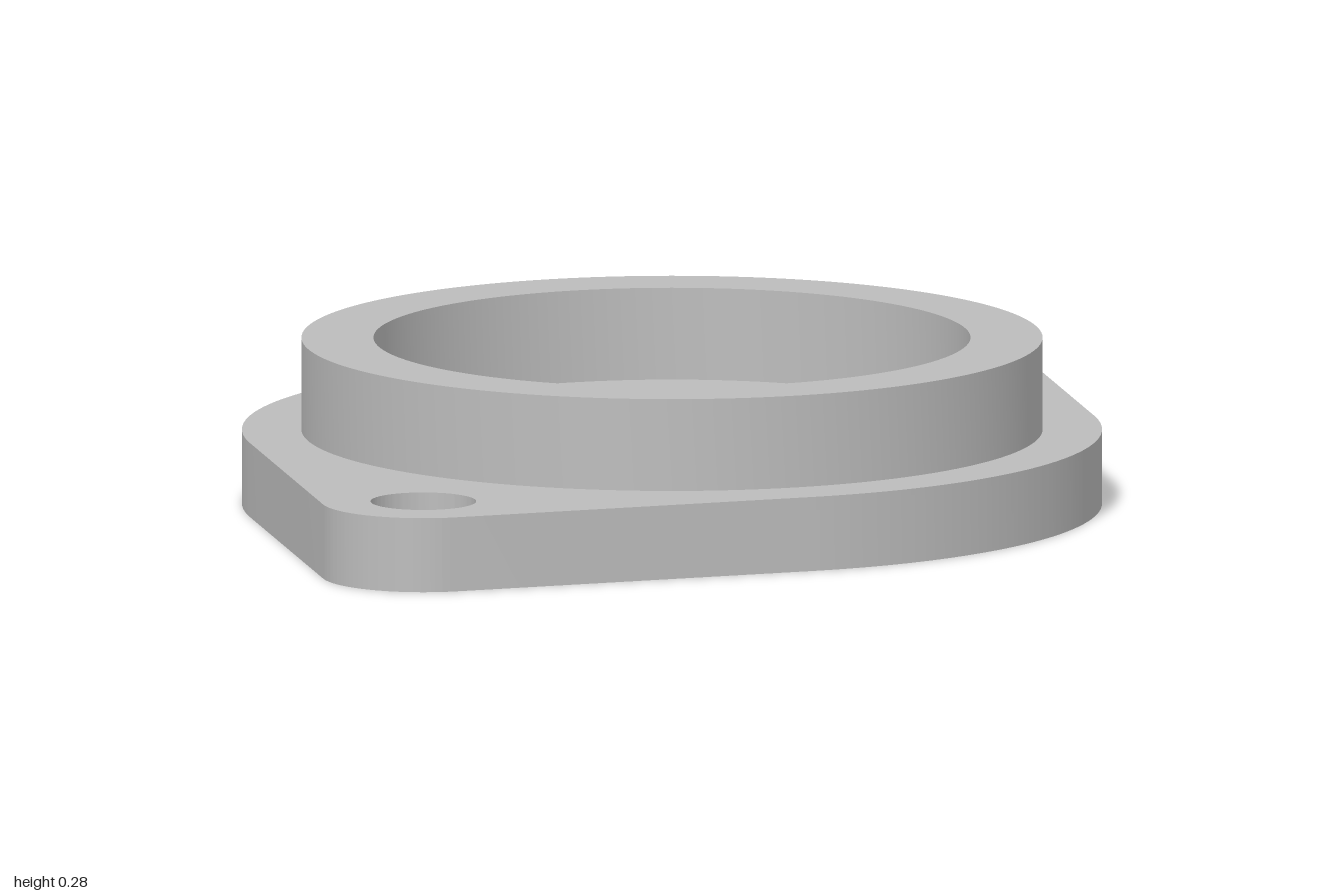
import * as THREE from 'three';
import { toCreasedNormals } from 'three/addons/utils/BufferGeometryUtils.js';

const PLATE_HEIGHT = 0.125, RING_HEIGHT = 0.155;
const BODY_RADIUS = 0.716, LUG_RADIUS = 0.17, LUG_OFFSET = 0.83, BOLT_RADIUS = 0.088;
const RING_OUTER = 0.617, RING_INNER = 0.497;

const circle = (Type, y, r) => new Type().absarc(0, y, r, 0, Math.PI * 2, false);

// Extrudes a plan outline upwards, smooth around curves and sharp at rims
function slab(name, shape, height, y, material) {
  const extruded = new THREE.ExtrudeGeometry(shape, { depth: height, bevelEnabled: false, curveSegments: 72 });
  extruded.rotateX(-Math.PI / 2);
  const mesh = new THREE.Mesh(toCreasedNormals(extruded, 0.5), material);
  mesh.name = name;
  mesh.position.y = y;
  return mesh;
}

export function createModel() {
  const group = new THREE.Group();
  group.name = 'flange';
  const metal = new THREE.MeshStandardMaterial({ color: 0xbcbcbc });
  metal.name = 'grey metal';

  // Two-bolt plate: a large disc joined to two lugs by tangent lines
  const a = Math.asin((BODY_RADIUS - LUG_RADIUS) / LUG_OFFSET);
  const outline = new THREE.Shape();
  outline.absarc(0, 0, BODY_RADIUS, -a, a, false);
  outline.absarc(0, LUG_OFFSET, LUG_RADIUS, a, Math.PI - a, false);
  outline.absarc(0, 0, BODY_RADIUS, Math.PI - a, Math.PI + a, false);
  outline.absarc(0, -LUG_OFFSET, LUG_RADIUS, Math.PI + a, 2 * Math.PI - a, false);
  for (const side of [1, -1]) outline.holes.push(circle(THREE.Path, side * LUG_OFFSET, BOLT_RADIUS));
  group.add(slab('mountingPlate', outline, PLATE_HEIGHT, 0, metal));

  // Raised collar around the round recess
  const collar = circle(THREE.Shape, 0, RING_OUTER);
  collar.holes.push(circle(THREE.Path, 0, RING_INNER));
  group.add(slab('raisedCollar', collar, RING_HEIGHT, PLATE_HEIGHT, metal));

  return group;
}
